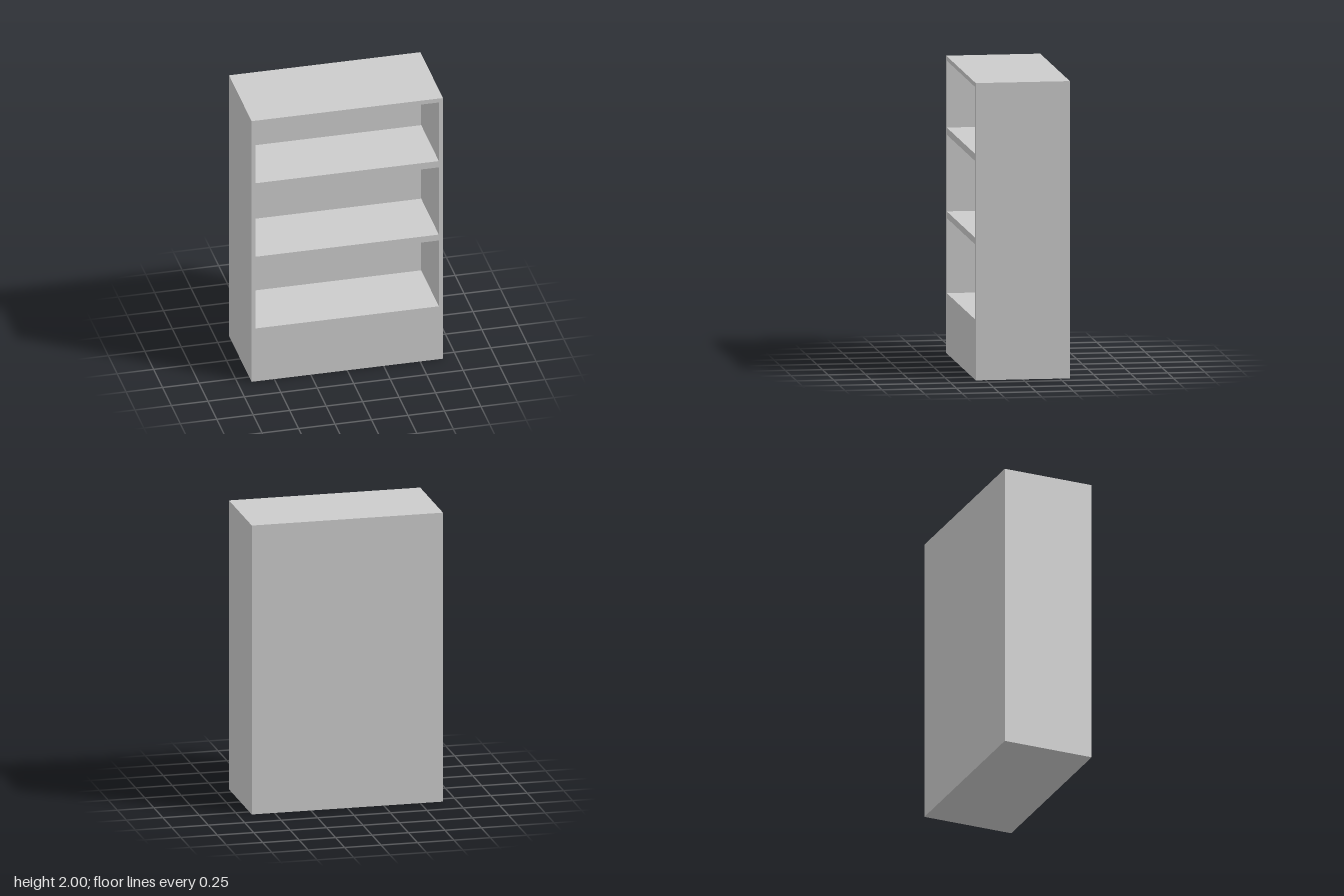
import * as THREE from 'three';

const HALF_W = 0.656, HEIGHT = 2, HALF_D = 0.317;
const BAY_HALF_W = 0.628, BAY_BACK = -0.18;
// Bottom and top height of each open bay
const BAYS = [[0.406, 0.911], [0.956, 1.472], [1.52, 1.97]];

function rectangle(path, halfW, y0, y1) {
  path.moveTo(-halfW, y0);
  path.lineTo(halfW, y0);
  path.lineTo(halfW, y1);
  path.lineTo(-halfW, y1);
  path.closePath();
  return path;
}

export function createModel() {
  const group = new THREE.Group();
  group.name = 'bookcase';
  const material = new THREE.MeshStandardMaterial({ color: 0xcccccc });

  // Carcass: sides, top, shelves and solid base in one piece
  const outline = rectangle(new THREE.Shape(), HALF_W, 0, HEIGHT);
  for (const [y0, y1] of BAYS) {
    outline.holes.push(rectangle(new THREE.Path(), BAY_HALF_W, y0, y1));
  }
  const carcass = new THREE.Mesh(
    new THREE.ExtrudeGeometry(outline, { depth: HALF_D - BAY_BACK, bevelEnabled: false }),
    material
  );
  carcass.name = 'carcass';
  carcass.position.z = BAY_BACK;
  group.add(carcass);

  // Thick back panel closing the bays
  const backDepth = BAY_BACK + HALF_D;
  const back = new THREE.Mesh(new THREE.BoxGeometry(HALF_W * 2, HEIGHT, backDepth), material);
  back.name = 'backPanel';
  back.position.set(0, HEIGHT / 2, -HALF_D + backDepth / 2);
  group.add(back);

  return group;
}
